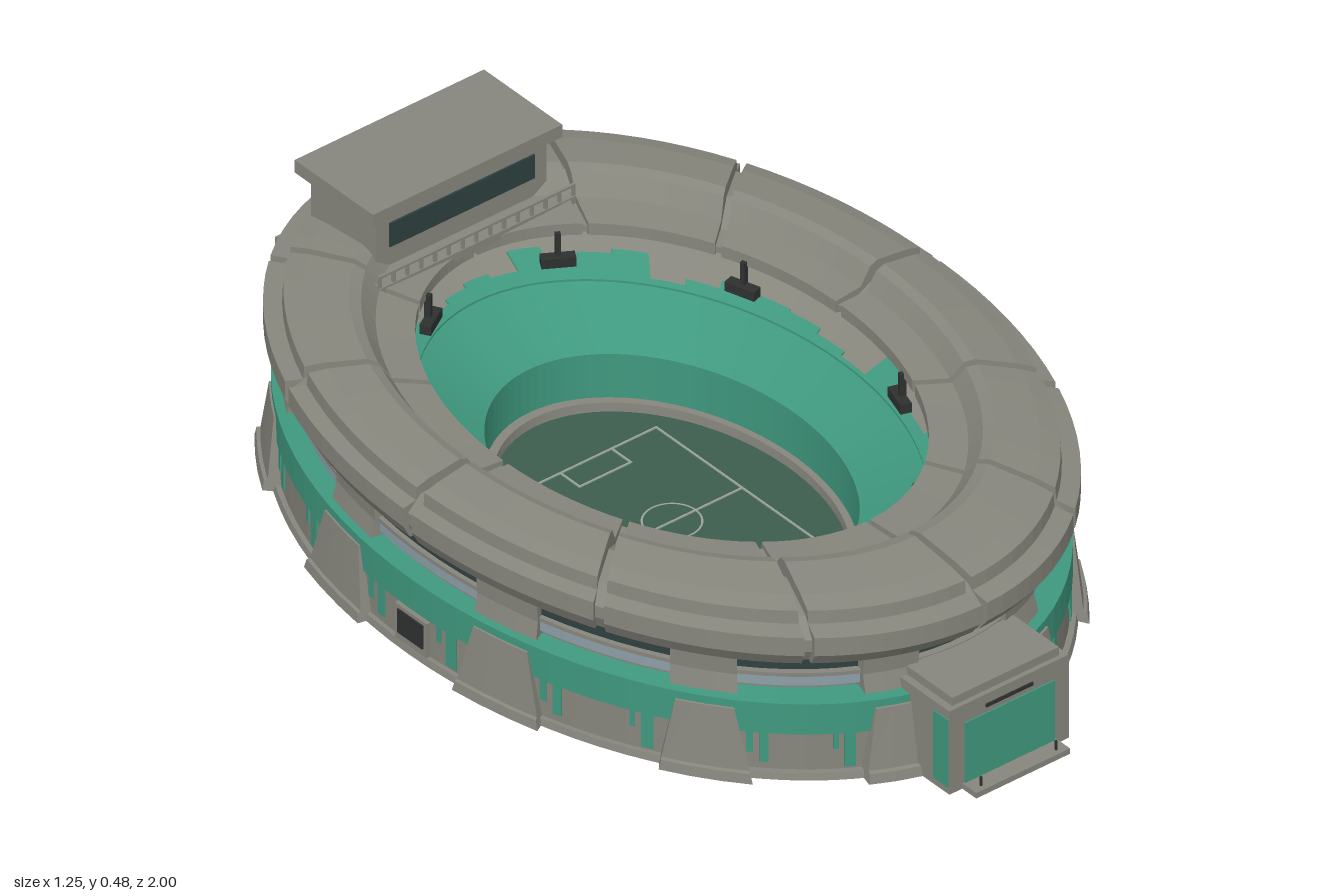
import * as THREE from 'three';

const STRETCH = 1.43; // the plan is an ellipse, longer in z
const STEP = Math.PI / 6; // twelve bays
const DEG = Math.PI / 180;

const mat = (name, color) => {
  const m = new THREE.MeshStandardMaterial({ color });
  m.name = name;
  return m;
};

export function createModel() {
  const concrete = mat('concrete', 0x87867d);
  const green = mat('seat green', 0x3f987e);
  const turf = mat('turf', 0x3c5d4d);
  const glass = mat('dark glass', 0x2f4040);
  const panel = mat('pale blue panel', 0x8d9fa8);
  const line = mat('pitch line', 0x98a396);
  const dark = mat('dark metal', 0x2e312f);

  const model = new THREE.Group();
  model.name = 'stadium';

  const add = (name, geometry, material, x = 0, y = 0, z = 0, parent = model) => {
    const mesh = new THREE.Mesh(geometry, material);
    mesh.name = name;
    mesh.position.set(x, y, z);
    parent.add(mesh);
    return mesh;
  };
  // box given by its limits
  const box = (name, material, x0, x1, y0, y1, z0, z1, parent = model) =>
    add(name, new THREE.BoxGeometry(x1 - x0, y1 - y0, z1 - z0), material,
      (x0 + x1) / 2, (y0 + y1) / 2, (z0 + z1) / 2, parent);

  // sweep a closed (radius, height) profile around the ellipse from angle a to b
  const ring = (name, material, profile, a = 0, b = Math.PI * 2, taper = 0) => {
    const shape = new THREE.Shape(profile.map(([r, y]) => new THREE.Vector2(r, y)));
    const steps = Math.max(1, Math.round((b - a) / (3.75 * DEG)));
    const g = new THREE.ExtrudeGeometry(shape, { depth: b - a, steps, bevelEnabled: false });
    const p = g.attributes.position;
    const mid = (a + b) / 2;
    for (let i = 0; i < p.count; i++) {
      const r = p.getX(i), y = p.getY(i);
      const t = mid + (p.getZ(i) + a - mid) * (1 - taper * y);
      p.setXYZ(i, r * Math.cos(t), y, STRETCH * r * Math.sin(t));
    }
    g.computeVertexNormals();
    return add(name, g, material);
  };
  const disc = (name, material, r, y0, y1) => {
    const g = new THREE.CylinderGeometry(r, r, y1 - y0, 96);
    g.scale(1, 1, STRETCH);
    return add(name, g, material, 0, (y0 + y1) / 2, 0);
  };

  // main body: outer wall, window recess and upper terrace
  ring('outerWall', concrete, [[0.39, 0], [0.605, 0], [0.605, 0.16], [0.565, 0.16],
    [0.565, 0.27], [0.5, 0.28], [0.5, 0.25], [0.46, 0.235], [0.39, 0.2]]);
  ring('plinth', concrete, [[0.59, 0], [0.617, 0], [0.614, 0.014], [0.59, 0.014]]);
  ring('greenBand', green, [[0.57, 0.155], [0.6, 0.155], [0.6, 0.095], [0.609, 0.095],
    [0.609, 0.162], [0.57, 0.165]]);

  // lower seating bowl
  ring('seatingBowl', green, [[0.285, 0], [0.39, 0], [0.39, 0.2], [0.285, 0.13]]);

  // uneven green seat blocks climbing the upper terrace
  let seed = 7;
  const rand = () => (seed = (seed * 16807) % 2147483647) / 2147483647;
  for (let i = 0; i < 48; i++) {
    const o = 0.395 + 0.05 * rand();
    const h = 0.2 + (o - 0.39) * 0.5;
    ring('upperSeatBlock', green, [[0.388, 0.198], [o, h], [o, h + 0.004], [0.388, 0.203]],
      i * 7.5 * DEG, (i + 1) * 7.5 * DEG);
  }

  // roof: continuous base with twelve raised segments and open seams
  ring('roofBase', concrete, [[0.396, 0.302], [0.5, 0.272], [0.57, 0.252], [0.598, 0.252],
    [0.61, 0.28], [0.61, 0.305], [0.582, 0.335], [0.5, 0.345], [0.445, 0.315], [0.396, 0.315]]);
  for (let i = 0; i < 12; i++) {
    ring('roofSegment', concrete, [[0.39, 0.3], [0.5, 0.27], [0.57, 0.25], [0.605, 0.25],
      [0.621, 0.28], [0.621, 0.32], [0.592, 0.326], [0.59, 0.353], [0.56, 0.362], [0.49, 0.372],
      [0.472, 0.365], [0.45, 0.33], [0.39, 0.325]], i * STEP + 0.013, (i + 1) * STEP - 0.013);
  }

  for (let i = 0; i < 12; i++) {
    const bay = i * STEP, pier = bay + STEP / 2;
    // windows in the recess above the green band
    const w = 10 * DEG;
    ring('window', glass, [[0.56, 0.203], [0.57, 0.203], [0.57, 0.25], [0.56, 0.25]], bay - w, bay + w);
    ring('windowSill', concrete, [[0.56, 0.197], [0.58, 0.197], [0.58, 0.205], [0.56, 0.205]], bay - w, bay + w);
    ring('parapetPanel', panel, [[0.56, 0.174], [0.576, 0.174], [0.576, 0.198], [0.56, 0.198]], bay - w, bay + w);
    // piers and flared buttresses
    ring('pier', concrete, [[0.55, 0.16], [0.594, 0.16], [0.586, 0.2], [0.59, 0.255], [0.55, 0.255]],
      pier - 5 * DEG, pier + 5 * DEG);
    ring('buttress', concrete, [[0.59, 0], [0.634, 0], [0.631, 0.02], [0.625, 0.022], [0.612, 0.145], [0.59, 0.15]],
      pier - 6.5 * DEG, pier + 6.5 * DEG, 2.4);
    // painted green drips below the band
    for (const [off, width, y] of [[-9.3, 1.3, 0.03], [-7, 1, 0.05], [7.3, 1.8, 0.02], [10, 0.8, 0.06]]) {
      const a = pier + off * DEG;
      ring('greenStripe', green, [[0.6, y], [0.608, y], [0.608, 0.1], [0.6, 0.1]], a, a + width * DEG);
    }
  }

  // side doors
  for (const s of [-1, 1]) {
    box('sideDoorFrame', concrete, s * 0.607 - 0.006, s * 0.607 + 0.006, 0.014, 0.09, -0.045, 0.045);
    box('sideDoor', dark, s * 0.612 - 0.004, s * 0.612 + 0.004, 0.03, 0.082, -0.036, 0.036);
  }

  // end gates
  for (const turn of [0, Math.PI]) {
    const gate = new THREE.Group();
    gate.name = 'gate';
    gate.rotation.y = turn;
    model.add(gate);
    box('gateBlock', concrete, -0.14, 0.14, 0, 0.185, 0.8, 0.96, gate);
    box('gateCap', concrete, -0.125, 0.125, 0.185, 0.203, 0.82, 0.95, gate);
    box('gateStep', concrete, -0.11, 0.11, 0, 0.012, 0.96, 1.0, gate);
    box('gateDoor', green, -0.105, 0.105, 0.012, 0.145, 0.957, 0.963, gate);
    box('gateSlot', dark, -0.055, 0.055, 0.157, 0.164, 0.957, 0.963, gate);
    box('gateSidePaint', green, -0.142, -0.139, 0.015, 0.165, 0.915, 0.958, gate);
    for (const x of [-0.088, 0.088]) box('gatePost', dark, x - 0.002, x + 0.002, 0.012, 0.032, 0.985, 0.989, gate);
  }

  // scoreboard house on the rear roof
  box('scoreboardHouse', concrete, -0.2, 0.2, 0.3, 0.45, -0.785, -0.6);
  box('scoreboardRoof', concrete, -0.222, 0.222, 0.45, 0.478, -0.805, -0.582);
  box('frontScreen', glass, -0.17, 0.17, 0.375, 0.427, -0.602, -0.596);
  box('rearScreen', glass, -0.17, 0.17, 0.385, 0.427, -0.789, -0.783);
  box('balcony', concrete, -0.23, 0.23, 0.315, 0.333, -0.64, -0.552);
  box('balconyRail', concrete, -0.23, 0.23, 0.353, 0.358, -0.56, -0.554);
  for (let i = 0; i <= 14; i++) {
    const x = -0.227 + i * 0.454 / 14;
    box('railPost', concrete, x - 0.003, x + 0.003, 0.333, 0.354, -0.56, -0.554);
  }

  // floodlights hung inside the roof edge
  for (const sx of [-1, 1]) for (const sz of [-1, 1]) for (const t of [24, 67]) {
    const lamp = new THREE.Group();
    lamp.name = 'floodlight';
    const a = t * DEG;
    lamp.position.set(sx * 0.386 * Math.cos(a), 0.25, sz * 0.386 * STRETCH * Math.sin(a));
    lamp.rotation.y = Math.atan2(lamp.position.x * STRETCH, lamp.position.z / STRETCH);
    model.add(lamp);
    box('lampArm', dark, -0.005, 0.005, 0, 0.06, -0.004, 0.008, lamp);
    box('lampHead', dark, -0.032, 0.032, -0.008, 0.012, -0.014, 0.008, lamp);
  }

  // pitch and its low surround
  disc('pitchFoundation', concrete, 0.3, 0, 0.01);
  disc('pitch', turf, 0.275, 0.008, 0.015);
  ring('pitchWall', concrete, [[0.27, 0], [0.29, 0], [0.288, 0.034], [0.272, 0.034]]);
  const mark = (x0, x1, z0, z1) => box('pitchLine', line, x0 - 0.002, x1 + 0.002, 0.014, 0.0175, z0 - 0.002, z1 + 0.002);
  mark(-0.165, 0.165, 0, 0);
  for (const s of [-1, 1]) {
    mark(s * 0.165, s * 0.165, -0.245, 0.245);
    mark(-0.165, 0.165, s * 0.245, s * 0.245);
    mark(-0.06, 0.06, s * 0.19, s * 0.19);
    for (const x of [-0.06, 0.06]) mark(x, x, s * 0.2175 - 0.0275, s * 0.2175 + 0.0275);
  }
  const circle = new THREE.RingGeometry(0.053, 0.057, 40);
  circle.rotateX(-Math.PI / 2);
  add('centreCircle', circle, line, 0, 0.0175, 0);

  return model;
}
